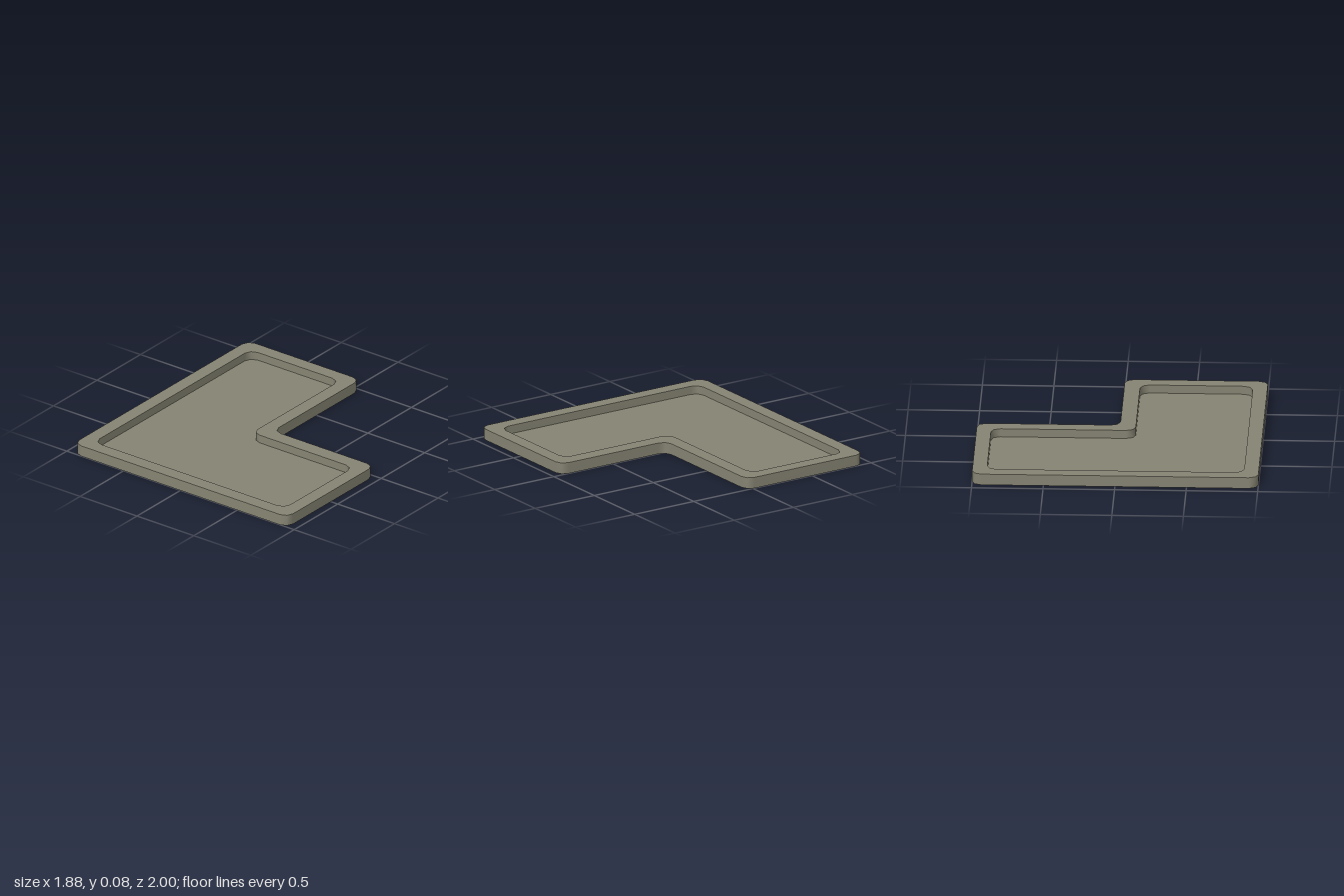
import * as THREE from 'three';

const HEIGHT = 0.08, FLOOR_Y = 0.02, RADIUS = 0.065;

// L-shaped outline inset by d, each corner eased with one middle point; y of the points is -z
function outline(d) {
  const corners = [
    [-0.94 + d, -1 + d], [0.94 - d, -1 + d], [0.94 - d, -d * 1.08],
    [0.05 - d, -d * 1.08], [0.05 - d, 1 - d], [-0.94 + d, 1 - d],
  ].map(([x, y]) => new THREE.Vector2(x, y));
  return corners.flatMap((c, i) => {
    const toward = (p) => p.clone().sub(c).setLength(RADIUS).add(c);
    const a = toward(corners[(i + 5) % 6]);
    const b = toward(corners[(i + 1) % 6]);
    const centre = a.clone().add(b).sub(c);
    return [a, centre.lerp(c, Math.SQRT1_2), b];
  });
}

// Closed vertical band along an outline; flip turns its front inward
function band(points, y0, y1, flip) {
  const n = points.length, position = [], index = [];
  points.forEach((p, i) => {
    position.push(p.x, y0, -p.y, p.x, y1, -p.y);
    const a = 2 * i, b = 2 * ((i + 1) % n);
    if (flip) index.push(a, b + 1, b, a, a + 1, b + 1);
    else index.push(a, b, b + 1, a, b + 1, a + 1);
  });
  const geometry = new THREE.BufferGeometry();
  geometry.setAttribute('position', new THREE.Float32BufferAttribute(position, 3));
  geometry.setIndex(index);
  geometry.computeVertexNormals();
  return geometry;
}

// Horizontal sheet, optionally with an opening
function sheet(points, y, opening) {
  const shape = new THREE.Shape(points);
  if (opening) shape.holes.push(new THREE.Path(opening));
  return new THREE.ShapeGeometry(shape).rotateX(-Math.PI / 2).translate(0, y, 0);
}

export function createModel() {
  const model = new THREE.Group();
  model.name = 'cornerTray';
  const olive = new THREE.MeshStandardMaterial({ color: 0x868473, side: THREE.DoubleSide });
  olive.name = 'olive grey';

  const add = (name, geometry) => {
    const mesh = new THREE.Mesh(geometry, olive);
    mesh.name = name;
    model.add(mesh);
  };

  const outer = outline(0), inner = outline(0.102);
  add('outerWall', band(outer, 0, HEIGHT, false));
  add('rim', sheet(outer, HEIGHT, inner));
  add('recessWall', band(inner, FLOOR_Y, HEIGHT, true));
  add('floor', sheet(inner, FLOOR_Y));
  return model;
}
